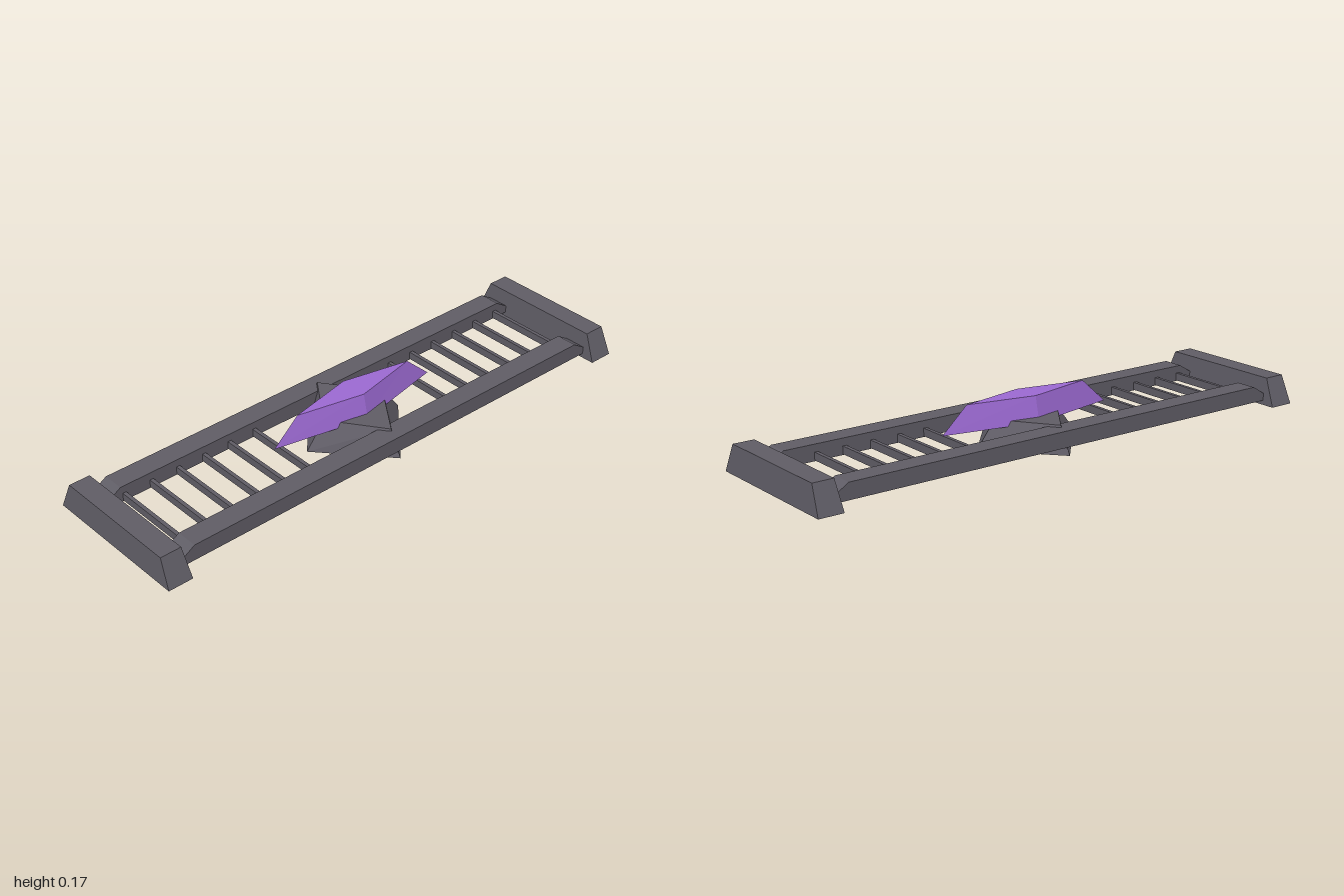
import * as THREE from 'three';

// Reshapes a unit prism (|x|,|z| <= 1, |y| = 0.5) into a tapered block between two heights.
function taper(prism, y0, y1, [bx, bz], [tx, tz]) {
  const geo = prism.toNonIndexed();
  const pos = geo.attributes.position;
  for (let i = 0; i < pos.count; i++) {
    const top = pos.getY(i) > 0;
    pos.setXYZ(i, pos.getX(i) * (top ? tx : bx), top ? y1 : y0, pos.getZ(i) * (top ? tz : bz));
  }
  geo.computeVertexNormals();
  return geo;
}

const box = () => new THREE.BoxGeometry(2, 1, 2);
const diamond = () => new THREE.CylinderGeometry(1, 1, 1, 4);

export function createModel() {
  const model = new THREE.Group();
  const stone = new THREE.MeshStandardMaterial({ color: 0x5f5c65 });
  stone.name = 'dark stone';
  const purple = new THREE.MeshStandardMaterial({ color: 0x9b69d1 });
  purple.name = 'purple crystal';

  const add = (name, geo, mat, x = 0, z = 0) => {
    const mesh = new THREE.Mesh(geo, mat);
    mesh.name = name;
    mesh.position.set(x, 0, z);
    model.add(mesh);
  };

  // Tapered blocks across both ends
  const endGeo = taper(box(), 0.014, 0.115, [0.285, 0.046], [0.243, 0.039]);
  add('frontEndBlock', endGeo, stone, 0, 0.954);
  add('backEndBlock', endGeo, stone, 0, -0.954);

  // Side rails with bevelled upper ends
  const profile = new THREE.Shape([
    [-0.915, 0.03], [0.915, 0.03], [0.915, 0.054], [0.86, 0.088], [-0.86, 0.088], [-0.915, 0.054],
  ].map(([z, y]) => new THREE.Vector2(z, y)));
  const railGeo = new THREE.ExtrudeGeometry(profile, { depth: 0.08, bevelEnabled: false });
  railGeo.translate(0, 0, -0.04).rotateY(Math.PI / 2);
  add('leftRail', railGeo, stone, 0.195);
  add('rightRail', railGeo, stone, -0.195);

  // Six thin rungs on each side of the centre
  const rungGeo = new THREE.BoxGeometry(0.33, 0.028, 0.014).translate(0, 0.047, 0);
  for (let i = 0; i < 6; i++) {
    const z = 0.311 + i * 0.107;
    add('frontRung' + (i + 1), rungGeo, stone, 0, z);
    add('backRung' + (i + 1), rungGeo, stone, 0, -z);
  }

  // Diamond-shaped mount and the long crystal set in it
  add('diamondMount', taper(diamond(), 0, 0.095, [0.238, 0.21], [0.19, 0.135]), stone);
  add('crystal', taper(diamond(), 0.077, 0.167, [0.073, 0.35], [0.053, 0.25]), purple);

  return model;
}
